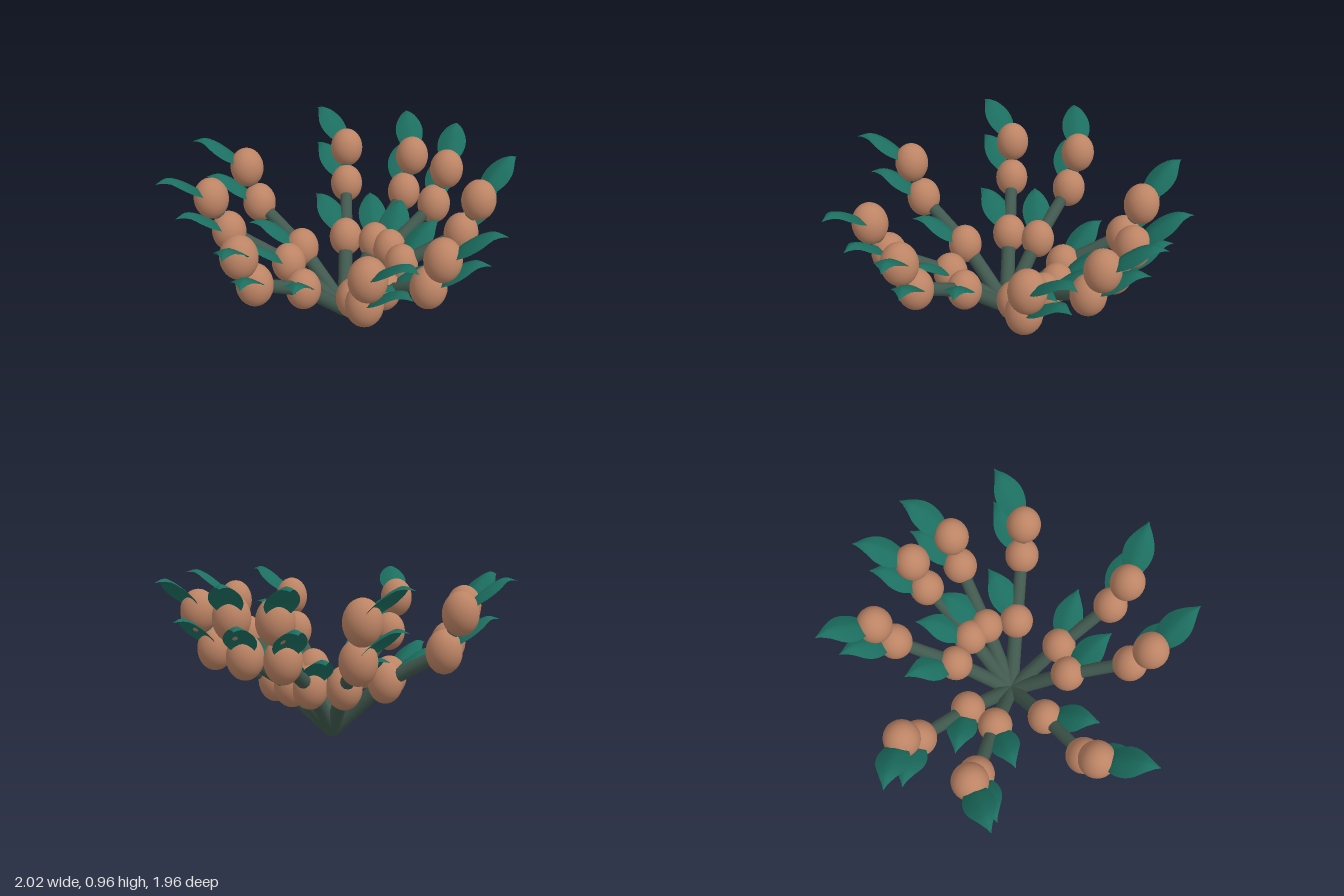
import * as THREE from 'three';

const stemMat = new THREE.MeshStandardMaterial({ color: 0x41594f });
stemMat.name = 'stem green';
const bulbMat = new THREE.MeshStandardMaterial({ color: 0xbd8465 });
bulbMat.name = 'fruit tan';
const leafMat = new THREE.MeshStandardMaterial({ color: 0x1c6e60, side: THREE.DoubleSide });
leafMat.name = 'leaf teal';

// Leaf: a plane swept along an arching midrib, its halves drooping to each side
function leafGeometry() {
  const rib = new THREE.CatmullRomCurve3([
    [0.03, 0.0], [0.07, 0.075], [0.13, 0.13], [0.19, 0.172], [0.25, 0.195], [0.32, 0.175],
  ].map(([x, y]) => new THREE.Vector3(x, y, 0)));
  const width = new THREE.SplineCurve([
    [0, 0.015], [0.25, 0.062], [0.45, 0.086], [0.65, 0.08], [0.85, 0.042], [1, 0.001],
  ].map(([x, y]) => new THREE.Vector2(x, y)));
  const geo = new THREE.PlaneGeometry(2, 1, 8, 14);
  const pos = geo.attributes.position;
  for (let i = 0; i < pos.count; i++) {
    const t = pos.getY(i) + 0.5;
    const side = pos.getX(i);
    const p = rib.getPoint(t);
    const half = width.getPoint(t).y;
    pos.setXYZ(i, p.x, p.y - half * 0.45 * Math.abs(side) ** 1.4, half * side);
  }
  geo.computeVertexNormals();
  return geo;
}

// Straight tapered stem piece between two points
function stemPiece(a, b, r0, r1) {
  const dir = b.clone().sub(a);
  const mesh = new THREE.Mesh(new THREE.CylinderGeometry(r1, r0, dir.length(), 12), stemMat);
  mesh.position.copy(a).addScaledVector(dir, 0.5);
  mesh.quaternion.setFromUnitVectors(new THREE.Vector3(0, 1, 0), dir.normalize());
  mesh.name = 'stem';
  return mesh;
}

export function createModel() {
  const model = new THREE.Group();
  model.name = 'fruitingPlant';
  const bulbGeo = new THREE.SphereGeometry(0.102, 28, 20).scale(1, 1.22, 1);
  const leafGeo = leafGeometry();

  // Each branch lies along +x (radius, height), then turns about the root
  const nodes = [[0, 0.032], [0.34, 0.35], [0.69, 0.55], [0.78, 0.765]]
    .map(([r, y]) => new THREE.Vector3(r, y, 0));
  const radii = [0.046, 0.042, 0.036, 0.03];
  const angles = [-105, -137.5, 170.5, 117.5, 85.5, 32, 0, -20.5, -53];

  for (const angle of angles) {
    const branch = new THREE.Group();
    branch.name = 'branch';
    for (let i = 1; i < nodes.length; i++) {
      branch.add(stemPiece(nodes[i - 1], nodes[i], radii[i - 1], radii[i]));

      const bulb = new THREE.Mesh(bulbGeo, bulbMat);
      bulb.name = 'fruit';
      bulb.position.copy(nodes[i]);

      const leaf = new THREE.Mesh(leafGeo, leafMat);
      leaf.name = 'leaf';
      leaf.position.copy(nodes[i]);
      leaf.rotation.y = THREE.MathUtils.degToRad(38);
      branch.add(bulb, leaf);
    }
    branch.position.set(-0.02, 0, -0.03);
    branch.rotation.y = -THREE.MathUtils.degToRad(angle);
    model.add(branch);
  }
  return model;
}
